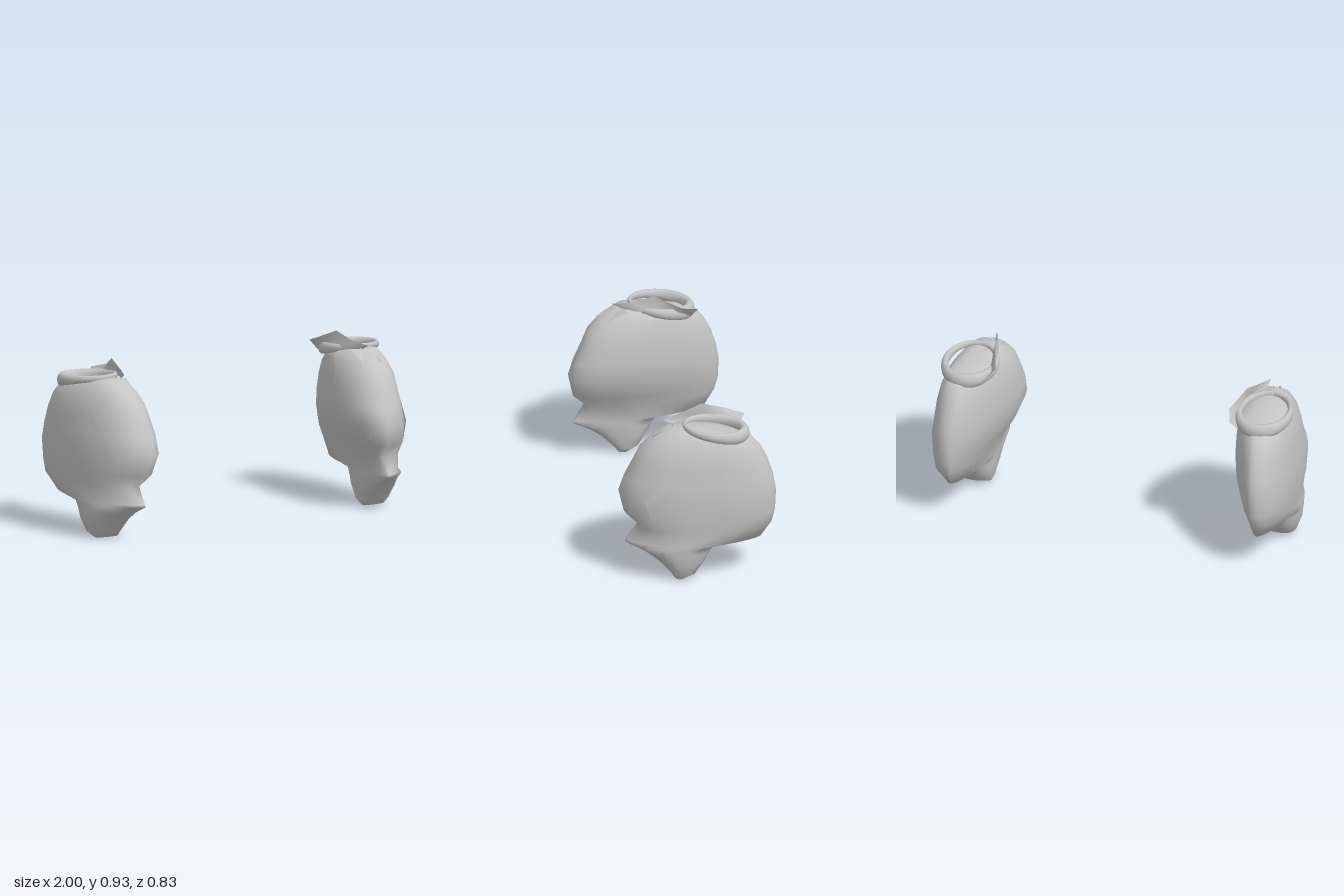
import * as THREE from 'three';

const cloth = new THREE.MeshStandardMaterial({ color: 0xc4c4c4 });
cloth.name = 'grey cloth';
cloth.side = THREE.DoubleSide;

// Cross-sections of the sleeve, bottom to top:
// y, then z and x of the front, outer, back and inner extremes, then roundness
const SECTIONS = [
  [0.00, 0.14, 0.81, 0.11, 0.91, 0.08, 0.84, 0.11, 0.775, 0.8],
  [0.03, 0.16, 0.80, 0.10, 0.94, 0.02, 0.86, 0.10, 0.76, 0.8],
  [0.10, 0.23, 0.79, 0.10, 0.965, -0.03, 0.86, 0.10, 0.745, 0.9],
  [0.15, 0.30, 0.78, 0.09, 0.97, -0.06, 0.86, 0.10, 0.74, 1.0],
  [0.19, 0.385, 0.77, 0.07, 0.975, -0.09, 0.86, 0.10, 0.735, 1.1],
  [0.203, 0.385, 0.77, 0.05, 0.978, -0.335, 0.86, 0.08, 0.735, 1.3],
  [0.29, 0.315, 0.78, -0.05, 0.985, -0.39, 0.86, 0.10, 0.72, 0.85],
  [0.36, 0.39, 0.76, -0.08, 0.995, -0.41, 0.855, 0.13, 0.67, 0.9],
  [0.47, 0.415, 0.75, -0.10, 1.00, -0.415, 0.855, 0.14, 0.625, 0.9],
  [0.56, 0.385, 0.76, -0.10, 0.99, -0.40, 0.85, 0.12, 0.622, 0.9],
  [0.65, 0.34, 0.77, -0.10, 0.98, -0.37, 0.845, 0.09, 0.632, 0.9],
  [0.72, 0.31, 0.78, -0.10, 0.965, -0.335, 0.84, 0.06, 0.645, 0.9],
  [0.785, 0.25, 0.79, -0.10, 0.94, -0.28, 0.835, 0.02, 0.67, 0.9],
  [0.825, 0.15, 0.80, -0.08, 0.91, -0.21, 0.83, -0.03, 0.70, 0.9],
  [0.835, 0.06, 0.81, -0.07, 0.87, -0.14, 0.83, -0.05, 0.76, 1.0],
];

// Point on a section; t runs 0..1 from front to outer side, back and inner side
function sectionPoint([y, zf, xf, zo, xo, zb, xb, zi, xi, round], t, offset = 0) {
  const a = t * Math.PI * 2;
  const front = Math.cos(a) >= 0, outer = Math.sin(a) >= 0;
  // the inner back is flattened where it lies against the torso
  const p = !front && !outer && y > 0.25 && y < 0.8 ? 1.3 : round;
  const s = Math.abs(Math.sin(a)) ** p, c = Math.abs(Math.cos(a)) ** p;
  const tipX = front ? xf : xb, tipZ = front ? zf : zb;
  const sideX = outer ? xo : xi, sideZ = outer ? zo : zi;
  const tilt = y > 0.8 ? 0.15 : 0; // the top slopes down to the back
  const z = sideZ + (tipZ - sideZ) * c;
  return new THREE.Vector3(
    tipX + (sideX - tipX) * s + offset * Math.sin(a), y + tilt * z, z + offset * Math.cos(a));
}

// Skin rows of points into a surface; sign -1 mirrors it in x
function skin(rows, sign, closed) {
  const n = rows[0].length, pos = [], idx = [];
  rows.forEach(r => r.forEach(p => pos.push(p.x * sign, p.y, p.z)));
  for (let i = 0; i < rows.length - 1; i++) {
    for (let j = 0; j < (closed ? n : n - 1); j++) {
      const k = (j + 1) % n;
      const a = i * n + j, b = i * n + k, c = a + n, d = b + n;
      if (sign > 0) idx.push(a, b, d, a, d, c);
      else idx.push(a, d, b, a, c, d);
    }
  }
  const g = new THREE.BufferGeometry();
  g.setAttribute('position', new THREE.Float32BufferAttribute(pos, 3));
  g.setIndex(idx);
  g.computeVertexNormals();
  return g;
}

const v = list => list.map(p => new THREE.Vector3(...p));

function createSleeve(sign) {
  const sleeve = new THREE.Group();
  const add = (name, rows, closed = false) => {
    const mesh = new THREE.Mesh(skin(rows, sign, closed), cloth);
    mesh.name = name;
    sleeve.add(mesh);
  };

  // Puffed body with closed ends
  const N = 40;
  const rows = SECTIONS.map(s => Array.from({ length: N }, (_, j) => sectionPoint(s, j / N)));
  const middle = row => {
    const m = row.reduce((sum, p) => sum.add(p), new THREE.Vector3()).divideScalar(N);
    return row.map(() => m.clone());
  };
  add('sleeveBody', [middle(rows[0]), ...rows, middle(rows[rows.length - 1])], true);

  // Overlapping outer panel with a creased front edge: [front edge, lift] per section
  const panel = [[0.122, 0.003], [0.114, 0.01], [0.141, 0.007], [0.165, 0.002]];
  add('outerPanel', panel.map(([edge, lift], i) =>
    Array.from({ length: 7 }, (_, j) =>
      sectionPoint(SECTIONS[7 + i], THREE.MathUtils.lerp(edge, 0.25, j / 6), lift * (1 - j / 6)))));

  // Rolled cuff ring, thin at the front and thick at the back
  const ring = [];
  const R = 28, T = 10;
  for (let i = 0; i <= R; i++) {
    const a = (i / R) * Math.PI * 2;
    const back = (1 - Math.cos(a)) / 2;
    const r = 0.014 + 0.022 * back;
    ring.push(Array.from({ length: T }, (_, j) => {
      const b = (j / T) * Math.PI * 2;
      const k = r * Math.cos(b) * 0.75;
      const z = -0.09 + (0.162 + k) * Math.cos(a);
      return new THREE.Vector3(
        0.825 + (0.135 + k) * Math.sin(a), 0.838 + 0.15 * z + r * 1.15 * Math.sin(b), z);
    }));
  }
  add('cuffRing', ring, true);

  // Folded strip standing along the inner side of the cuff
  add('cuffFold', [
    v([[0.72, 0.79, -0.24], [0.695, 0.82, -0.16], [0.69, 0.835, -0.04], [0.72, 0.84, 0.06], [0.765, 0.845, 0.13]]),
    v([[0.69, 0.84, -0.275], [0.655, 0.865, -0.18], [0.71, 0.925, -0.04], [0.735, 0.885, 0.09], [0.77, 0.872, 0.18]]),
  ]);

  // Small loose corner hanging below the front of the cuff
  add('frontTuck', [
    v([[0.72, 0.79, 0.21], [0.78, 0.76, 0.255], [0.81, 0.80, 0.24]]),
    v([[0.71, 0.84, 0.10], [0.76, 0.85, 0.13], [0.80, 0.85, 0.13]]),
  ]);
  return sleeve;
}

export function createModel() {
  const model = new THREE.Group();
  model.name = 'pairOfSleeves';
  for (const [name, sign] of [['leftSleeve', 1], ['rightSleeve', -1]]) {
    const sleeve = createSleeve(sign);
    sleeve.name = name;
    model.add(sleeve);
  }
  return model;
}
